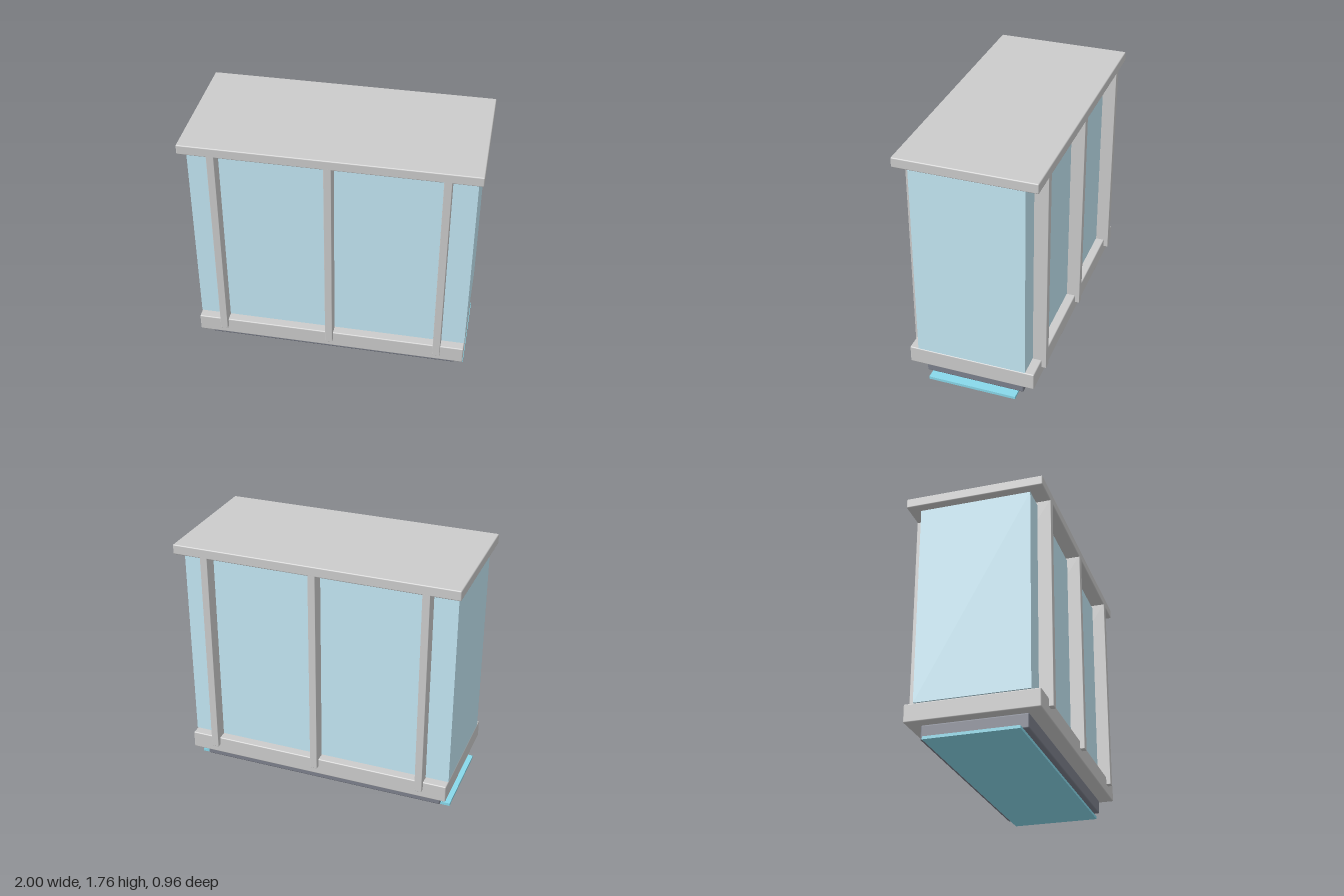
import * as THREE from 'three';
import { RoundedBoxGeometry } from 'three/addons/geometries/RoundedBoxGeometry.js';

const material = (color) => new THREE.MeshStandardMaterial({ color });

export function createModel() {
  const model = new THREE.Group();
  model.name = 'glassShelter';
  const grey = material(0xcccccc);
  const dark = material(0x7c808c);
  const glass = material(0xc4e8f5);
  const teal = material(0x88d8ea);

  // Box between heights y0 and y1, centred on z; radius rounds its edges
  function block(name, mat, width, depth, y0, y1, radius = 0, x = 0) {
    const geometry = radius
      ? new RoundedBoxGeometry(width, y1 - y0, depth, 2, radius)
      : new THREE.BoxGeometry(width, y1 - y0, depth);
    const mesh = new THREE.Mesh(geometry, mat);
    mesh.name = name;
    mesh.position.set(x, (y0 + y1) / 2, 0);
    model.add(mesh);
  }

  // Base layers, from the ground up
  block('groundPlate', teal, 1.93, 0.634, 0, 0.02);
  block('plinth', dark, 1.804, 0.71, 0.02, 0.122, 0.01);
  block('baseFrame', grey, 1.93, 0.9, 0.125, 0.25, 0.008);

  // Glazed body, stopping just short of the roof
  block('glassBody', glass, 1.93, 0.774, 0.253, 1.67);

  // Frames running through the full depth, showing as posts front and back
  for (const x of [-0.775, 0, 0.775]) {
    block('framePost', grey, 0.052, 0.964, 0.19, 1.7, 0.003, x);
  }

  // Roof slab
  block('roof', grey, 2, 0.964, 1.69, 1.76, 0.008);

  return model;
}
